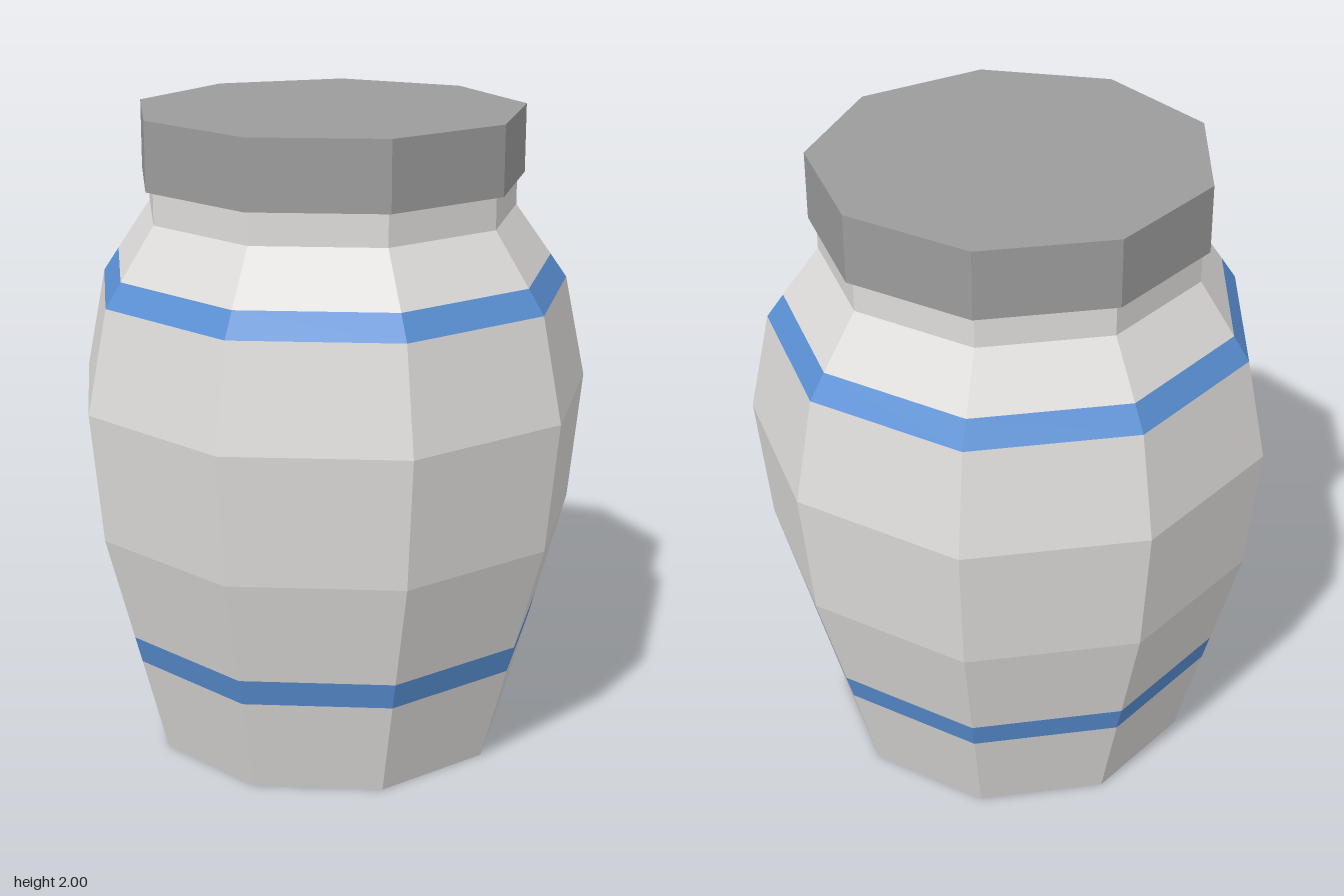
import * as THREE from 'three';

const SIDES = 9;

// Nine-sided ring wall through [radius, height] points, listed from bottom to top.
function facetedRing(name, profile, material) {
  const points = profile.map(([r, y]) => new THREE.Vector2(r, y));
  const geometry = new THREE.LatheGeometry(points, SIDES, -Math.PI / 2);
  // shift each ring sideways so the odd-sided outline sits centred on x
  const pos = geometry.attributes.position;
  for (let i = 0; i < pos.count; i++) {
    const r = Math.hypot(pos.getX(i), pos.getZ(i));
    pos.setX(i, pos.getX(i) + 0.026 * r);
  }
  const flat = geometry.toNonIndexed();
  flat.computeVertexNormals();
  const mesh = new THREE.Mesh(flat, material);
  mesh.name = name;
  return mesh;
}

function makeMaterial(name, color) {
  const m = new THREE.MeshStandardMaterial({ color, side: THREE.DoubleSide, flatShading: true });
  m.name = name;
  return m;
}

export function createModel() {
  const group = new THREE.Group();
  group.name = 'jar';

  const ceramic = makeMaterial('paleCeramic', 0xdedcda);
  const blue = makeMaterial('blueGlaze', 0x5a90d4);
  const lidGrey = makeMaterial('lidGrey', 0x9c9c9c);

  // jar wall, open underneath, split at the coloured bands
  group.add(
    facetedRing('foot', [[0.572, 0], [0.655, 0.31]], ceramic),
    facetedRing('lowerBand', [[0.655, 0.31], [0.678, 0.395]], blue),
    facetedRing('belly', [[0.678, 0.395], [0.768, 0.73], [0.807, 1.135], [0.741, 1.455]], ceramic),
    facetedRing('upperBand', [[0.741, 1.455], [0.69, 1.53]], blue),
    facetedRing('shoulderAndNeck', [[0.69, 1.53], [0.579, 1.69], [0.579, 1.79]], ceramic)
  );

  // flat lid overhanging the neck
  group.add(facetedRing('lid', [[0.579, 1.79], [0.602, 1.79], [0.602, 2], [0, 2]], lidGrey));

  return group;
}
